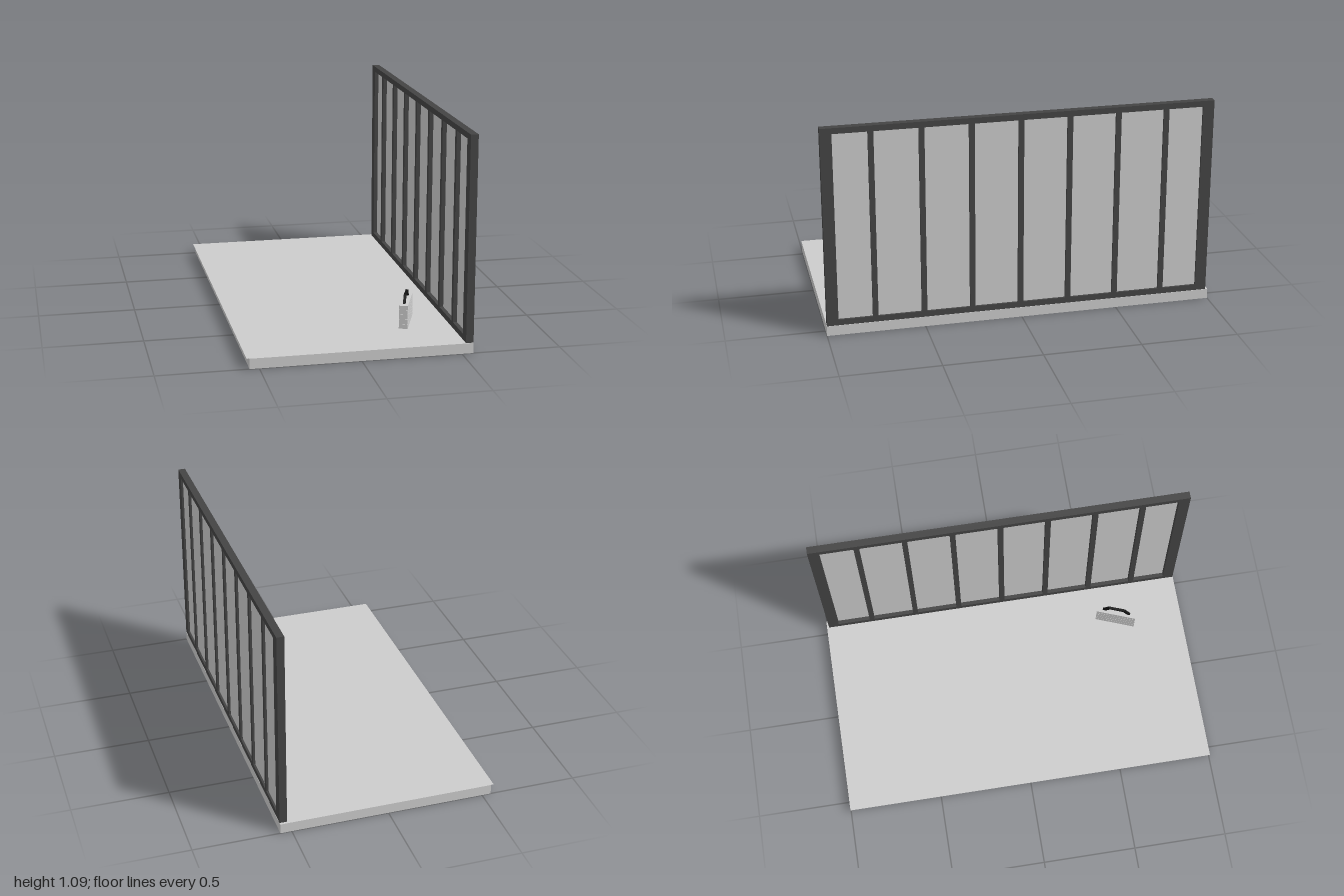
import * as THREE from 'three';

const grey = new THREE.MeshStandardMaterial({ color: 0xcccccc });
const sheet = new THREE.MeshStandardMaterial({ color: 0xcccccc, side: THREE.DoubleSide });
const dark = new THREE.MeshStandardMaterial({ color: 0x444444 });
const black = new THREE.MeshStandardMaterial({ color: 0x111111 });

// Box given by its minimum and maximum corners
function box(parent, name, material, [x0, y0, z0], [x1, y1, z1]) {
  const mesh = new THREE.Mesh(new THREE.BoxGeometry(x1 - x0, y1 - y0, z1 - z0), material);
  mesh.position.set((x0 + x1) / 2, (y0 + y1) / 2, (z0 + z1) / 2);
  mesh.name = name;
  parent.add(mesh);
  return mesh;
}

function createFloor() {
  const floor = new THREE.Group();
  floor.name = 'floor';
  box(floor, 'floorSlab', grey, [-0.547, 0, -1], [0.558, 0.052, 1]);
  // Thin covering that overhangs the slab on the open side
  const cover = new THREE.Mesh(new THREE.PlaneGeometry(1.119, 2), sheet);
  cover.name = 'floorCovering';
  cover.rotation.x = -Math.PI / 2;
  cover.position.set(-0.0015, 0.053, 0);
  floor.add(cover);
  return floor;
}

function createWindowWall() {
  const wall = new THREE.Group();
  wall.name = 'windowWall';
  const x0 = 0.52, x1 = 0.558, y0 = 0.053, y1 = 1.09, rail = 0.03, z0 = -0.988, z1 = 0.998, post = 0.058;

  // Outer frame
  box(wall, 'frontPost', dark, [x0, y0, z1 - post], [x1, y1, z1]);
  box(wall, 'backPost', dark, [x0, y0, z0], [x1, y1, z0 + post]);
  box(wall, 'bottomRail', dark, [x0, y0, z0 + post], [x1, y0 + rail, z1 - post]);
  box(wall, 'topRail', dark, [x0, y1 - rail, z0 + post], [x1, y1, z1 - post]);

  // Seven mullions with eight panes between them
  const half = 0.014;
  let paneStart = z0 + post;
  for (let i = 0; i <= 7; i++) {
    const z = 0.007 + (i - 3) * 0.2485;
    const paneEnd = i < 7 ? z - half : z1 - post;
    box(wall, 'pane', grey, [0.541, y0 + rail, paneStart], [0.547, y1 - rail, paneEnd]);
    if (i < 7) box(wall, 'mullion', dark, [x0, y0 + rail, z - half], [x1, y1 - rail, z + half]);
    paneStart = z + half;
  }
  return wall;
}

function createToolCase() {
  const toolCase = new THREE.Group();
  toolCase.name = 'toolCase';
  const w = 0.022, l = 0.11;

  // Core with layers separated by narrow grooves
  box(toolCase, 'caseCore', grey, [-w + 0.002, 0, -l + 0.002], [w - 0.002, 0.118, l - 0.002]);
  const levels = [0, 0.023, 0.05, 0.075, 0.1, 0.12];
  for (let i = 0; i < 5; i++) {
    box(toolCase, 'caseLayer', grey, [-w, levels[i], -l], [w, levels[i + 1] - (i < 4 ? 0.002 : 0), l]);
  }

  // Trapezoid carrying handle
  const outline = [[-0.078, 0.12], [-0.045, 0.158], [0.045, 0.158], [0.078, 0.12],
    [0.06, 0.12], [0.037, 0.147], [-0.037, 0.147], [-0.06, 0.12]];
  const shape = new THREE.Shape(outline.map(([x, y]) => new THREE.Vector2(x, y)));
  const geometry = new THREE.ExtrudeGeometry(shape, { depth: 0.013, bevelEnabled: false });
  geometry.translate(0, 0, -0.0065).rotateY(-Math.PI / 2);
  const handle = new THREE.Mesh(geometry, black);
  handle.name = 'caseHandle';
  toolCase.add(handle);

  toolCase.position.set(0.313, 0.053, 0.627);
  toolCase.rotation.y = -0.367;
  return toolCase;
}

export function createModel() {
  const model = new THREE.Group();
  model.name = 'windowedRoomCorner';
  model.add(createFloor(), createWindowWall(), createToolCase());
  return model;
}
